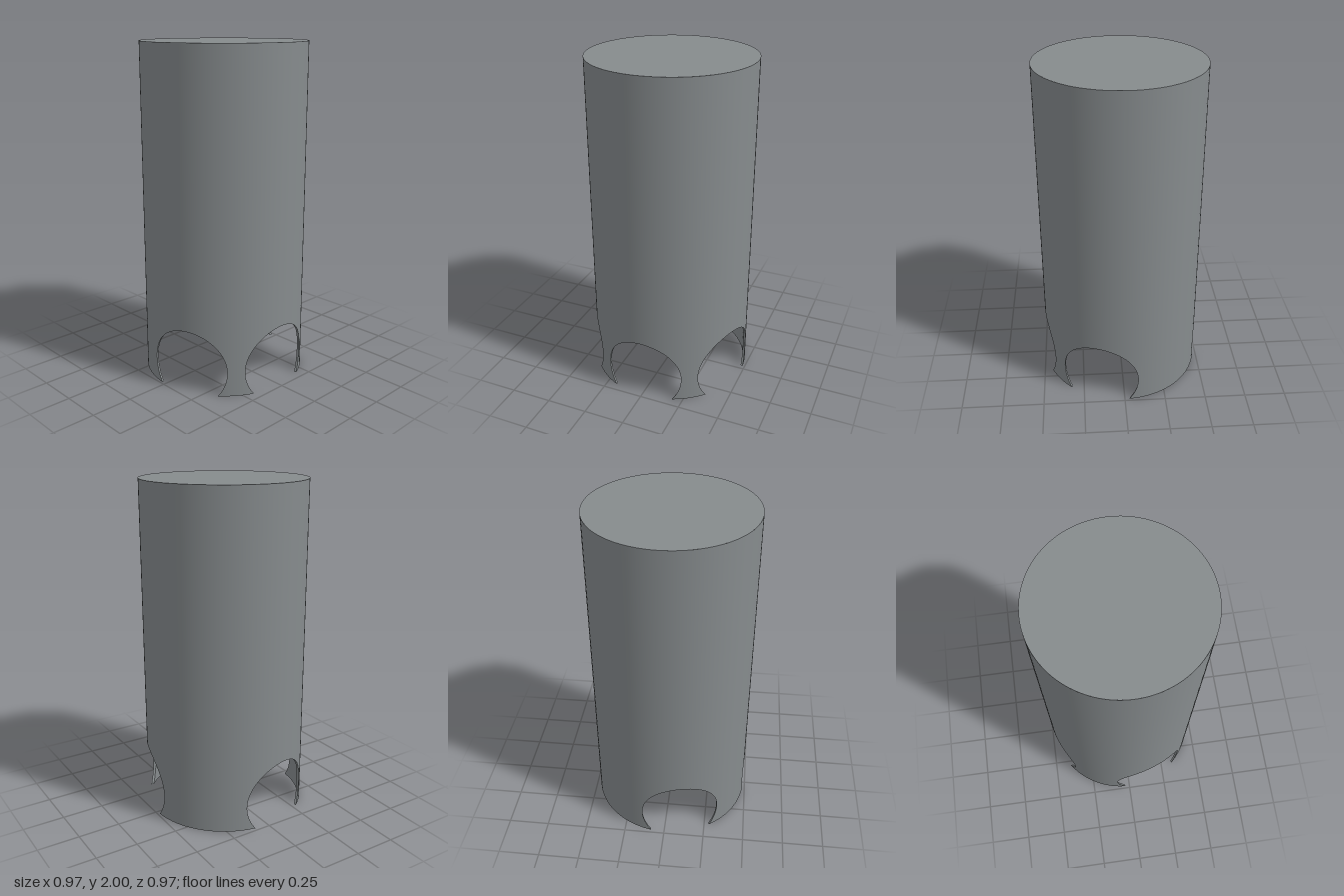
import * as THREE from 'three';
import { toCreasedNormals } from 'three/addons/utils/BufferGeometryUtils.js';

const HEIGHT = 2, OUTER = 0.487, INNER = 0.473;
const HOLE_R = 0.237, HOLE_Y = 0.145;
// directions of the round side openings, measured from +x towards +z
const HOLES = [0, 70.6, 167.4, 289.4].map(THREE.MathUtils.degToRad);

// column of wall at sideways offset s from an opening's axis
function column(centre, s, low, high) {
  return { outer: centre + Math.asin(s / OUTER), inner: centre + Math.asin(s / INNER), low, high };
}

function range(from, to, steps, fn) {
  return Array.from({ length: steps + 1 }, (_, i) => fn(from + (to - from) * i / steps));
}

// thick curved wall through a row of columns
function addWall(out, cols) {
  const point = (r, a, y) => [r * Math.cos(a), y, r * Math.sin(a)];
  const quad = (a, b, c, d) => out.push(...a, ...b, ...c, ...a, ...c, ...d);
  for (let i = 0; i + 1 < cols.length; i++) {
    const [p, q] = [cols[i], cols[i + 1]].map(c => ({
      ol: point(OUTER, c.outer, c.low), oh: point(OUTER, c.outer, c.high),
      il: point(INNER, c.inner, c.low), ih: point(INNER, c.inner, c.high),
    }));
    quad(q.ol, p.ol, p.oh, q.oh);
    quad(p.il, q.il, q.ih, p.ih);
    quad(p.ol, q.ol, q.il, p.il);
    if (cols[i].high < HEIGHT) quad(p.ih, q.ih, q.oh, p.oh);
  }
}

function wallGeometry() {
  const out = [];
  const floorAngle = Math.asin(HOLE_Y / HOLE_R);
  HOLES.forEach((c, i) => {
    const rimY = a => Math.max(0, HOLE_Y + HOLE_R * Math.sin(a));
    // wall above the opening
    addWall(out, range(Math.PI, 0, 48, a => column(c, HOLE_R * Math.cos(a), rimY(a), HEIGHT)));
    // flared feet that curl in below the opening
    const lip = a => column(c, HOLE_R * Math.cos(a), 0, rimY(a));
    addWall(out, range(Math.PI, Math.PI + floorAngle, 10, lip));
    addWall(out, range(-floorAngle, 0, 10, lip));
    // full-height wall up to the next opening
    const next = i + 1 < HOLES.length ? HOLES[i + 1] : HOLES[0] + 2 * Math.PI;
    const start = column(c, HOLE_R, 0, HEIGHT), end = column(next, -HOLE_R, 0, HEIGHT);
    addWall(out, range(0, 1, 16, t => ({
      outer: THREE.MathUtils.lerp(start.outer, end.outer, t),
      inner: THREE.MathUtils.lerp(start.inner, end.inner, t),
      low: 0, high: HEIGHT,
    })));
  });
  const geo = new THREE.BufferGeometry();
  geo.setAttribute('position', new THREE.Float32BufferAttribute(out, 3));
  return toCreasedNormals(geo, 0.6);
}

export function createModel() {
  const group = new THREE.Group();
  const grey = new THREE.MeshStandardMaterial({ color: 0x868b8d });
  grey.name = 'grey';

  const add = (name, geometry, y = 0) => {
    const mesh = new THREE.Mesh(geometry, grey);
    mesh.name = name;
    mesh.position.y = y;
    group.add(mesh);
  };
  add('tubeWall', wallGeometry());
  // closed top, seen from above and from inside
  add('topCap', new THREE.CircleGeometry(OUTER, 128).rotateX(-Math.PI / 2), HEIGHT);
  add('innerCeiling', new THREE.CircleGeometry(INNER, 128).rotateX(Math.PI / 2), HEIGHT - (OUTER - INNER));
  return group;
}
